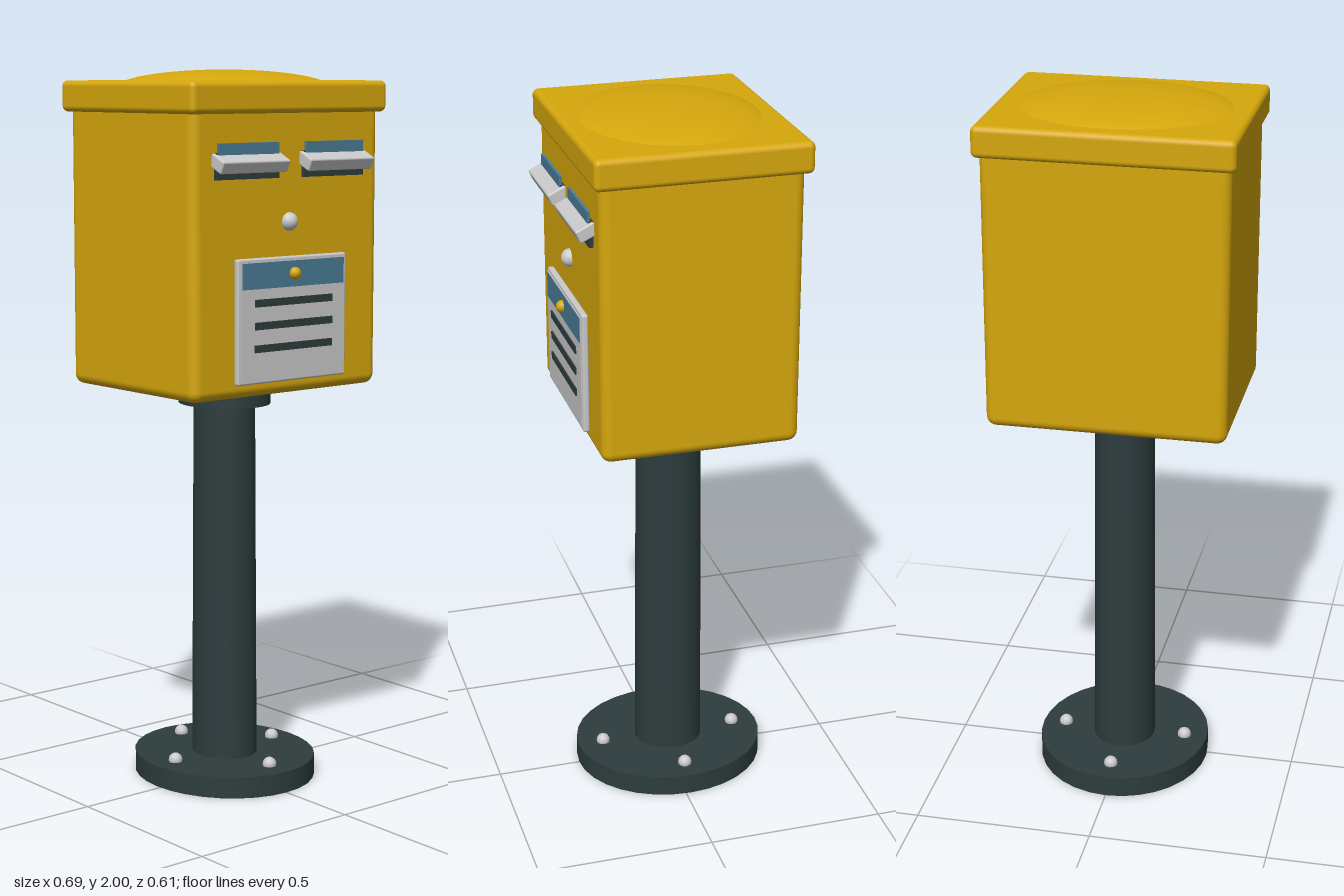
import * as THREE from 'three';
import { RoundedBoxGeometry } from 'three/addons/geometries/RoundedBoxGeometry.js';

const material = (name, color) => {
  const m = new THREE.MeshStandardMaterial({ color });
  m.name = name;
  return m;
};

export function createModel() {
  const yellow = material('yellow paint', 0xd6a70c);
  const dark = material('dark green grey', 0x2d3c3d);
  const silver = material('light grey', 0xcacaca);
  const blue = material('blue', 0x4b7c98);

  const model = new THREE.Group();
  model.name = 'postBox';
  const midZ = -0.015; // centre line of box and post
  const front = 0.258; // front face of the box

  const add = (name, geometry, mat, x, y, z) => {
    const mesh = new THREE.Mesh(geometry, mat);
    mesh.name = name;
    mesh.position.set(x, y, z);
    model.add(mesh);
    return mesh;
  };
  const box = (name, w, h, d, mat, x, y, z) =>
    add(name, new THREE.BoxGeometry(w, h, d), mat, x, y, z);
  const rounded = (name, w, h, d, r, mat, x, y, z) =>
    add(name, new RoundedBoxGeometry(w, h, d, 4, r), mat, x, y, z);

  // Slightly oval cylinder, standing between two heights
  const column = (name, rTop, rBottom, y0, y1) => {
    const g = new THREE.CylinderGeometry(rTop, rBottom, y1 - y0, 32);
    add(name, g, dark, 0, (y0 + y1) / 2, midZ).scale.z = 1.11;
  };

  // Stand
  column('base', 0.247, 0.247, 0, 0.06);
  column('post', 0.083, 0.089, 0.06, 1.08);
  column('collar', 0.124, 0.124, 1.075, 1.115);
  for (let i = 0; i < 4; i++) {
    const a = (i * Math.PI) / 2;
    add('baseBolt', new THREE.SphereGeometry(0.02, 12, 8), silver,
      0.18 * Math.cos(a), 0.065, midZ + 0.2 * Math.sin(a));
  }

  // Box, lid and shallow dome
  rounded('body', 0.66, 0.79, 0.546, 0.028, yellow, 0, 1.525, midZ);
  rounded('lid', 0.69, 0.085, 0.582, 0.016, yellow, 0, 1.928, midZ - 0.001);
  const dome = new THREE.SphereGeometry(1, 24, 12, 0, Math.PI * 2, 0, Math.PI / 2);
  add('lidDome', dome, yellow, 0, 1.95, midZ).scale.set(0.316, 0.05, 0.267);

  // Two letter slots, each with a blue label and a sloping flap
  for (const side of [-1, 1]) {
    const x = side * 0.152;
    box('slotOpening', 0.215, 0.07, 0.012, dark, x, 1.75, front + 0.006);
    box('slotLabel', 0.208, 0.04, 0.008, blue, x, 1.79, front + 0.011);
    rounded('slotFlap', 0.232, 0.036, 0.055, 0.005, silver, x, 1.758, 0.276).rotation.x = 0.45;
  }

  // Lock above the notice
  add('lock', new THREE.SphereGeometry(0.025, 20, 14), silver, 0, 1.597, front);

  // Notice panel with header and printed bars
  rounded('noticeFrame', 0.386, 0.337, 0.018, 0.006, silver, 0, 1.337, front + 0.009);
  box('noticePanel', 0.37, 0.316, 0.006, silver, 0, 1.337, front + 0.018);
  box('noticeHeader', 0.36, 0.07, 0.006, blue, 0, 1.459, front + 0.02);
  for (let i = 0; i < 3; i++) {
    box('noticeBar', 0.275, 0.02, 0.008, dark, 0, 1.386 - i * 0.061, front + 0.021);
  }
  add('noticeKnob', new THREE.SphereGeometry(0.017, 16, 12), yellow, 0, 1.46, front + 0.025);

  return model;
}
